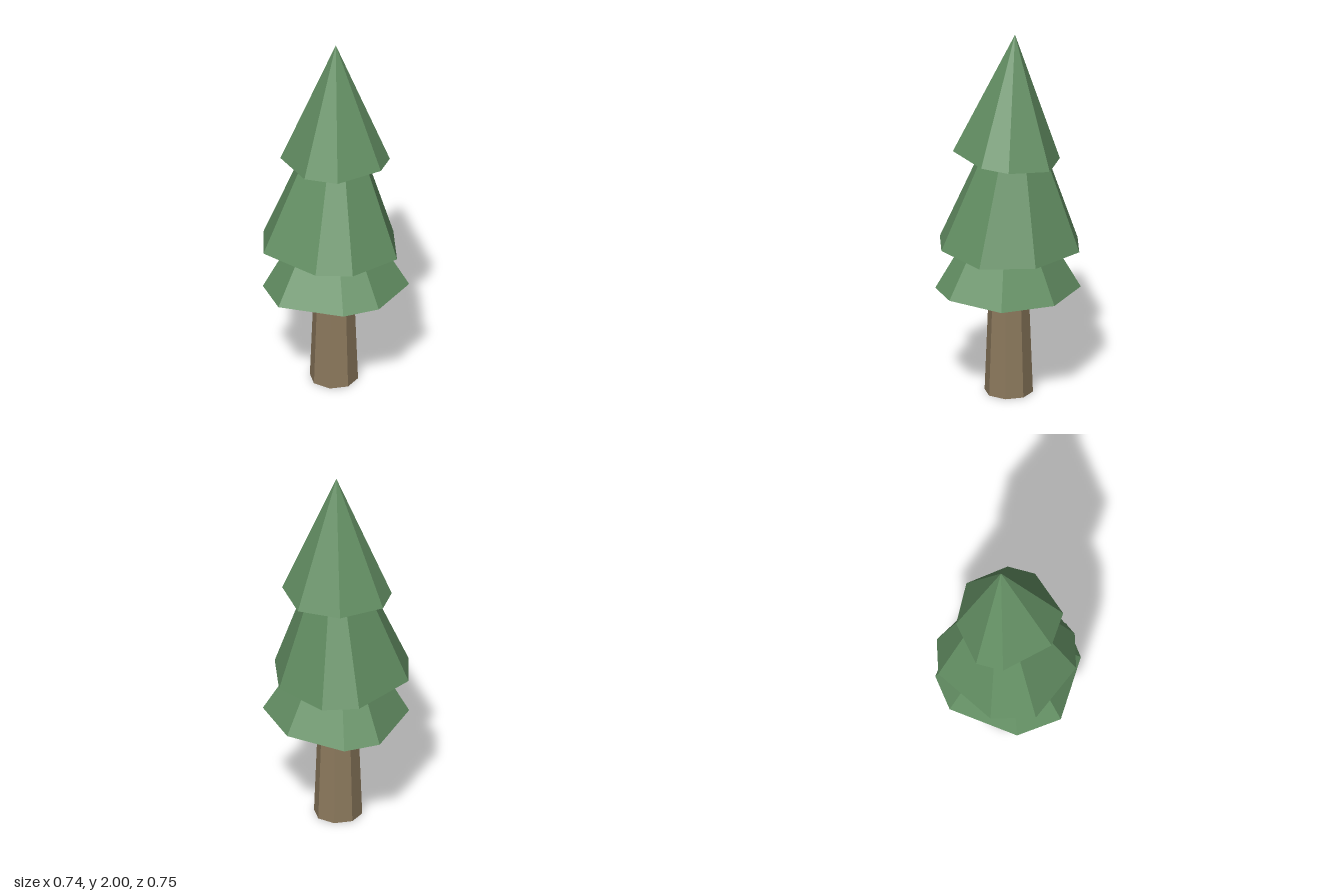
import * as THREE from 'three';

const leafMaterial = new THREE.MeshStandardMaterial({ color: 0x649064, flatShading: true });
const barkMaterial = new THREE.MeshStandardMaterial({ color: 0x8c795d, flatShading: true });

// Each tier: a tip, an uneven octagonal rim [x, z] (clockwise from above),
// and the slightly tilted plane of the rim: y = height + slopeX * x + slopeZ * z
const tiers = [
  {
    name: 'lowerFoliage', tip: [0.015, 1.24, 0], height: 0.583, slopeX: 0.005, slopeZ: 0.045,
    rim: [[-0.075, -0.362], [0.123, -0.365], [0.35, -0.127], [0.37, 0.178],
      [0.13, 0.373], [-0.067, 0.374], [-0.345, 0.153], [-0.342, -0.09]],
  },
  {
    name: 'middleFoliage', tip: [0.055, 1.78, -0.036], height: 0.82, slopeX: -0.04, slopeZ: 0.015,
    rim: [[0.045, -0.378], [0.228, -0.315], [0.355, -0.02], [0.272, 0.262],
      [-0.01, 0.362], [-0.193, 0.298], [-0.373, 0.003], [-0.29, -0.218]],
  },
  {
    name: 'topFoliage', tip: [0.04, 2, -0.03], height: 1.325, slopeX: -0.01, slopeZ: 0.1,
    rim: [[-0.14, -0.24], [0.105, -0.255], [0.29, -0.125], [0.29, 0.105],
      [0.197, 0.222], [-0.063, 0.277], [-0.203, 0.158], [-0.232, -0.125]],
  },
];

// Uneven cone with a closed underside
function createTier({ name, tip, height, slopeX, slopeZ, rim }) {
  const ring = rim.map(([x, z]) => [x, height + slopeX * x + slopeZ * z, z]);
  const centre = [0, height, 0];
  const positions = [];
  ring.forEach((a, i) => {
    const b = ring[(i + 1) % ring.length];
    positions.push(...b, ...a, ...tip); // sloping side
    positions.push(...centre, ...a, ...b); // underside
  });
  const geometry = new THREE.BufferGeometry();
  geometry.setAttribute('position', new THREE.Float32BufferAttribute(positions, 3));
  geometry.computeVertexNormals();
  const mesh = new THREE.Mesh(geometry, leafMaterial);
  mesh.name = name;
  return mesh;
}

export function createModel() {
  const tree = new THREE.Group();
  tree.name = 'pineTree';

  // Tapered eight-sided trunk, its top tucked into the lowest tier
  const trunkHeight = 0.62;
  const trunk = new THREE.Mesh(
    new THREE.CylinderGeometry(0.103, 0.127, trunkHeight, 8, 1, false, Math.PI / 12),
    barkMaterial,
  );
  trunk.name = 'trunk';
  trunk.position.set(0.02, trunkHeight / 2, -0.003);
  tree.add(trunk);

  // Three stacked tiers of foliage
  tiers.forEach((tier) => tree.add(createTier(tier)));
  return tree;
}
